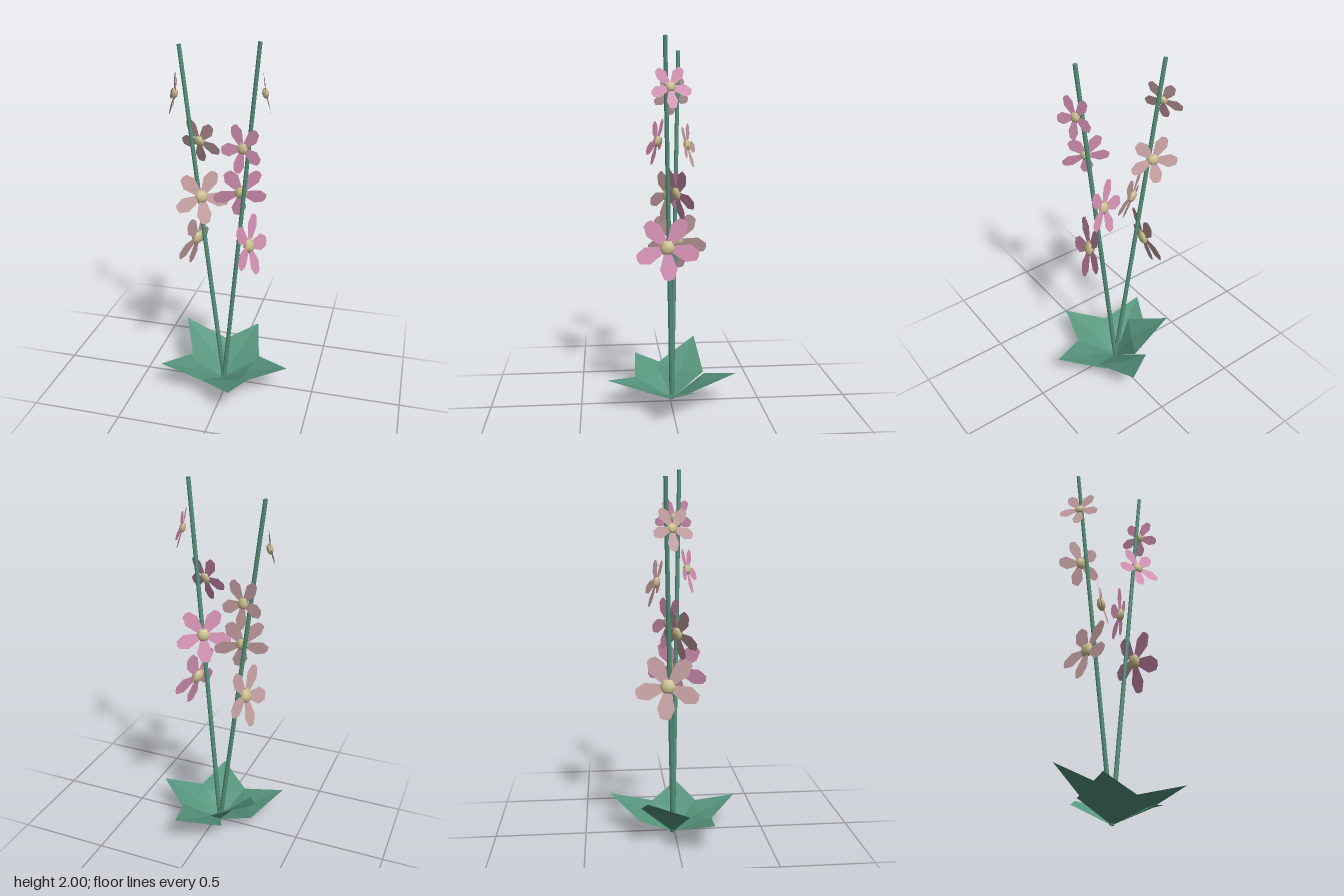
import * as THREE from 'three';

function mat(name, color, open) {
  const m = new THREE.MeshStandardMaterial({ color });
  m.name = name;
  if (open) m.side = THREE.DoubleSide;
  return m;
}

// Flat-faced surface from a short list of triangles
function facets(tris) {
  const g = new THREE.BufferGeometry();
  g.setAttribute('position', new THREE.Float32BufferAttribute(tris.flat(2), 3));
  g.computeVertexNormals();
  return g;
}

// Blunt petal along +x, one unit long, slightly raised at the tip
function petalGeometry() {
  const s = new THREE.Shape();
  s.moveTo(0.05, -0.08);
  s.lineTo(0.66, -0.27);
  s.lineTo(0.96, -0.15);
  s.lineTo(1, 0);
  s.lineTo(0.96, 0.15);
  s.lineTo(0.66, 0.27);
  s.lineTo(0.05, 0.08);
  return new THREE.ShapeGeometry(s).rotateY(-0.08);
}

// Kite-shaped leaf: steep lower half, flatter pointed upper half
function leafGeometry([tx, ty, tz], along, cornerY) {
  const base = [-0.03, 0, -0.01];
  const dx = tx - base[0], dz = tz - base[2], len = Math.hypot(dx, dz);
  const ux = dx / len, uz = dz / len, w = 0.15;
  const at = (a, y, p) => [base[0] + ux * a - uz * p, y, base[2] + uz * a + ux * p];
  const mid = at(along, cornerY - 0.015, 0);
  const a = at(along, cornerY, w), b = at(along, cornerY, -w), tip = [tx, ty, tz];
  return facets([[base, a, mid], [base, mid, b], [a, tip, mid], [mid, tip, b]]);
}

export function createModel() {
  const root = new THREE.Group();
  root.name = 'flowerPlant';
  const green = mat('leafGreen', 0x57957d, true);
  const pink = mat('rosePink', 0xd994b8, true);
  const dusty = mat('dustyPink', 0xc8a2a4, true);
  const yellow = mat('paleYellow', 0xcfc392);

  // Rosette of leaves: tip, distance to widest point, height there
  [
    [[0.10, 0.19, -0.357], 0.15, 0.11],
    [[0.355, 0.16, 0.04], 0.155, 0.1],
    [[0.088, 0.165, 0.354], 0.155, 0.1],
    [[-0.352, 0.168, 0.184], 0.155, 0.1],
    [[-0.30, 0.28, -0.166], 0.1, 0.15],
  ].forEach(([tip, along, y]) => {
    const leaf = new THREE.Mesh(leafGeometry(tip, along, y), green);
    leaf.name = 'leaf';
    root.add(leaf);
  });

  // Two straight stems leaning apart
  const foot = new THREE.Vector3(-0.03, 0, -0.01);
  [[0.17, 2, 0.043], [-0.28, 1.95, -0.068]].forEach((p) => {
    const dir = new THREE.Vector3(...p).sub(foot);
    const stem = new THREE.Mesh(new THREE.CylinderGeometry(0.011, 0.013, dir.length(), 6), green);
    stem.name = 'stem';
    stem.position.copy(foot).addScaledVector(dir, 0.5);
    stem.quaternion.setFromUnitVectors(new THREE.Vector3(0, 1, 0), dir.normalize());
    root.add(stem);
  });

  // Flowers: position, facing direction, radius, roll
  const petal = petalGeometry();
  const core = new THREE.SphereGeometry(1, 6, 5).rotateX(Math.PI / 2);
  function flower(material, pos, facing, r, roll) {
    const g = new THREE.Group();
    g.name = 'flower';
    g.position.set(...pos);
    g.lookAt(pos[0] + facing[0], pos[1] + 0.2, pos[2] + facing[1]);
    for (let i = 0; i < 5; i++) {
      const m = new THREE.Mesh(petal, material);
      m.name = 'petal';
      m.rotation.z = -Math.PI / 2 + roll + (i * Math.PI * 2) / 5;
      m.scale.setScalar(r);
      g.add(m);
    }
    const c = new THREE.Mesh(core, yellow);
    c.name = 'flowerCentre';
    c.scale.set(r * 0.25, r * 0.25, r * 0.15);
    g.add(c);
    root.add(g);
  }
  flower(pink, [0.195, 1.745, 0.018], [0.97, -0.24], 0.112, 0.05);
  flower(pink, [0.095, 1.468, 0.079], [-0.38, 0.92], 0.13, -0.08);
  flower(pink, [0.063, 1.187, -0.027], [-0.42, -0.9], 0.152, 0.06);
  flower(pink, [0.122, 0.907, 0.027], [0.97, 0.25], 0.176, 0.1);
  flower(dusty, [-0.299, 1.702, -0.037], [-0.92, 0.39], 0.114, -0.05);
  flower(dusty, [-0.191, 1.43, -0.11], [0.35, -0.94], 0.132, 0.1);
  flower(dusty, [-0.149, 1.156, 0.004], [0.49, 0.87], 0.153, 0.08);
  flower(dusty, [-0.193, 0.885, -0.05], [-0.98, -0.2], 0.176, -0.06);
  return root;
}
